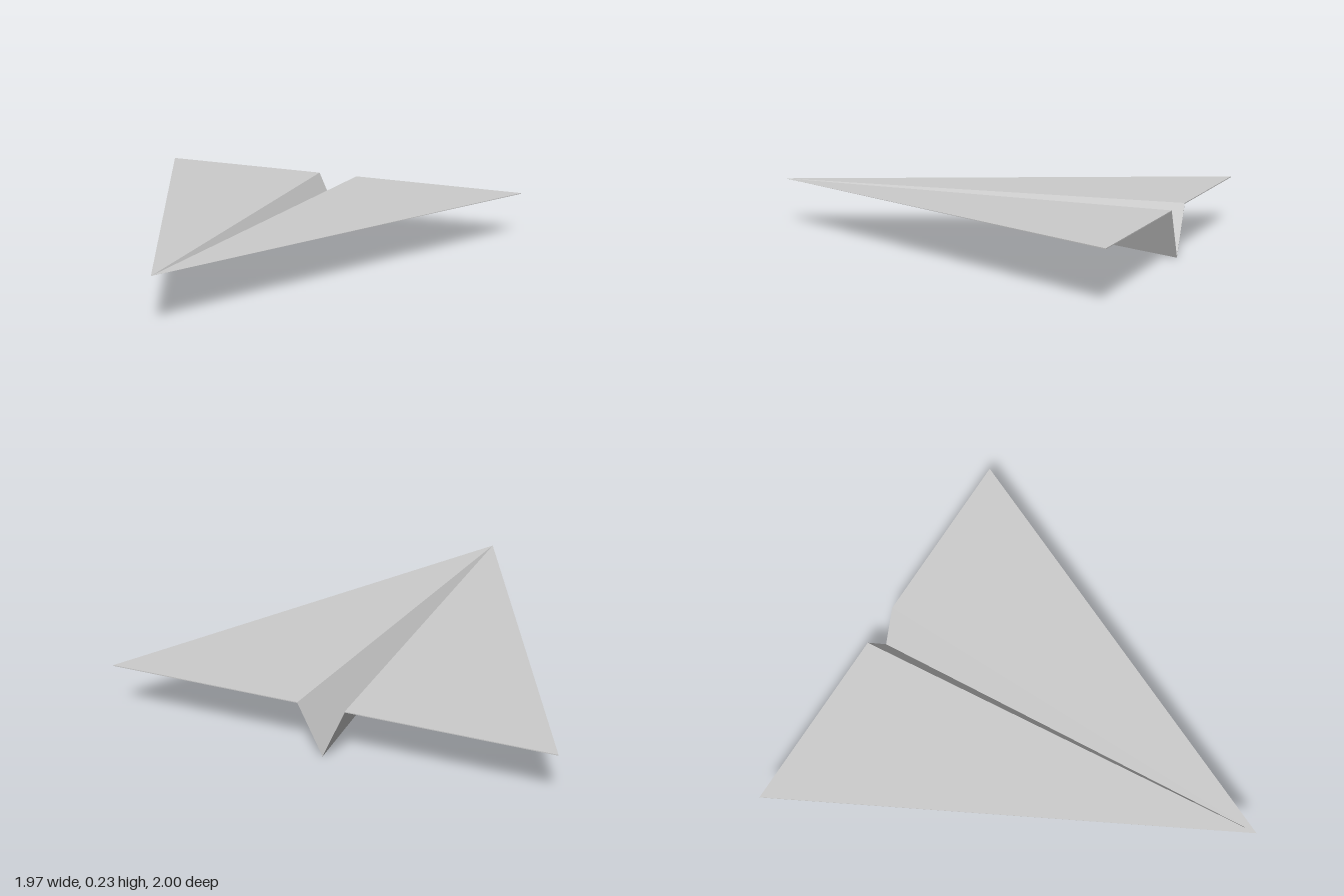
import * as THREE from 'three';

// Points of the folded sheet at the tail: [x, upper y, lower y]
const TIP = [0.985, 0.226, 0.222];
const FOLD = [0.105, 0.226, 0.222];
const CREASE = [0, 0.005, 0];
const NOSE = [0, 0.226, 1];
const TAIL_Z = -1;

// One flat paper panel: a thin wedge from the nose to a tail edge, a to b in rising x
function panel(name, a, b, material) {
  const ring = [
    [a[0], a[1], TAIL_Z], [b[0], b[1], TAIL_Z],
    [b[0], b[2], TAIL_Z], [a[0], a[2], TAIL_Z],
  ];
  const corners = [];
  ring.forEach((p, i) => corners.push(NOSE, ring[(i + 1) % 4], p));
  corners.push(ring[0], ring[1], ring[2], ring[0], ring[2], ring[3]); // tail edge
  const geometry = new THREE.BufferGeometry();
  geometry.setAttribute('position', new THREE.Float32BufferAttribute(corners.flat(), 3));
  geometry.computeVertexNormals();
  const mesh = new THREE.Mesh(geometry, material);
  mesh.name = name;
  return mesh;
}

const mirror = ([x, upper, lower]) => [-x, upper, lower];

export function createModel() {
  const paper = new THREE.MeshStandardMaterial({ color: 0xcccccc });
  paper.name = 'paper grey';

  const plane = new THREE.Group();
  plane.name = 'paperPlane';
  plane.add(
    // Wings
    panel('leftWing', FOLD, TIP, paper),
    panel('rightWing', mirror(TIP), mirror(FOLD), paper),
    // V-shaped keel
    panel('leftKeelWall', CREASE, FOLD, paper),
    panel('rightKeelWall', mirror(FOLD), CREASE, paper),
  );
  return plane;
}
